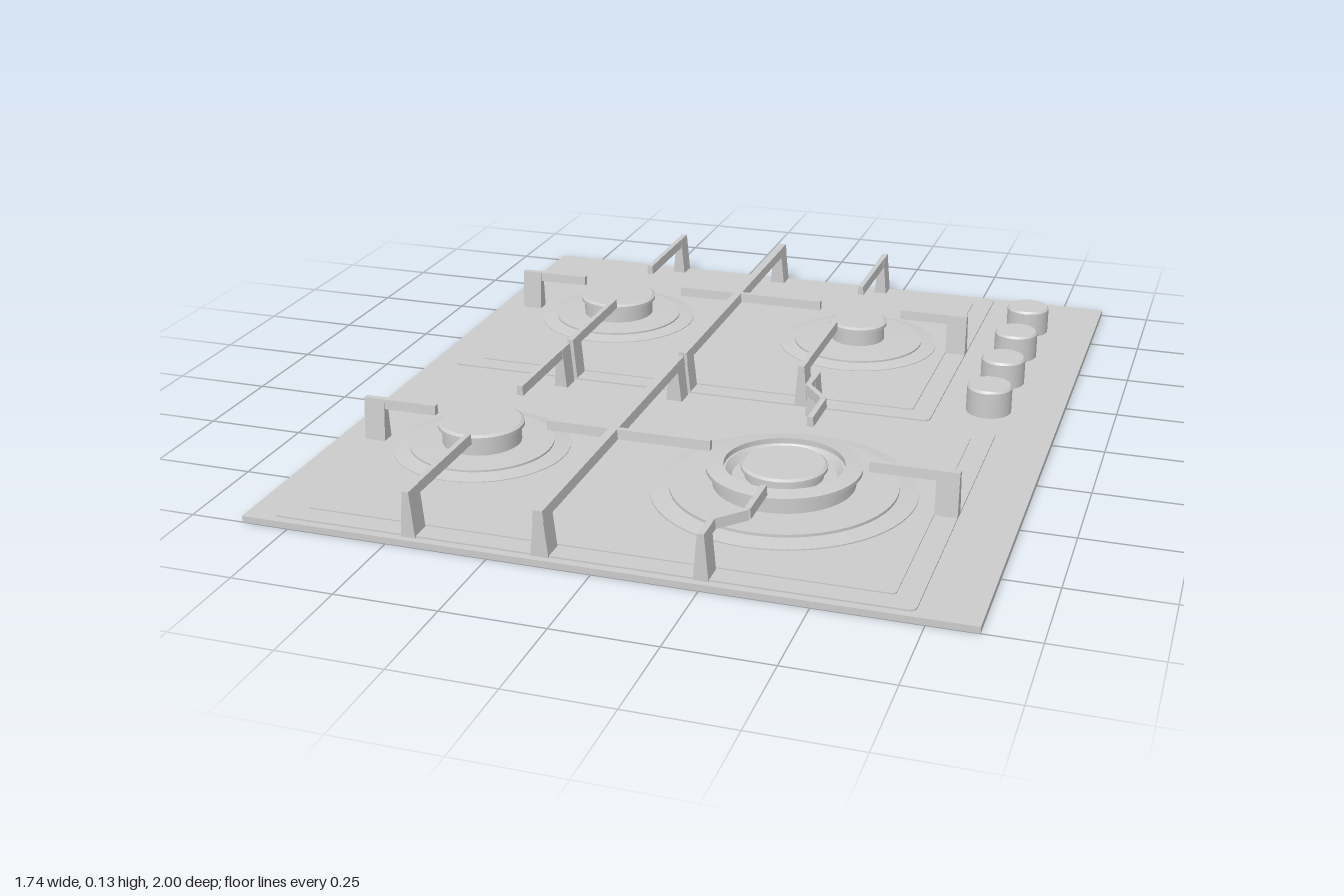
import * as THREE from 'three';

const mat = new THREE.MeshStandardMaterial({ color: 0xcccccc, side: THREE.DoubleSide });
const PLATE = 0.016, TOP = 0.13, BAR = 0.105;

function add(parent, name, geo, x = 0, y = 0, z = 0) {
  const m = new THREE.Mesh(geo, mat);
  m.name = name;
  m.position.set(x, y, z);
  parent.add(m);
  return m;
}

// Lathe from [radius, height] points, each edge kept sharp
function turned(points, segments = 48) {
  const profile = [];
  points.forEach(([r, y], i) => {
    profile.push(new THREE.Vector2(r, y));
    if (i > 0 && i < points.length - 1) profile.push(new THREE.Vector2(r, y));
  });
  return new THREE.LatheGeometry(profile, segments);
}

// Flat pad with rounded corners
function pad(x0, x1, z0, z1, r, h) {
  const s = new THREE.Shape();
  s.moveTo(x0 + r, -z1);
  s.lineTo(x1 - r, -z1);
  s.quadraticCurveTo(x1, -z1, x1, -z1 + r);
  s.lineTo(x1, -z0 - r);
  s.quadraticCurveTo(x1, -z0, x1 - r, -z0);
  s.lineTo(x0 + r, -z0);
  s.quadraticCurveTo(x0, -z0, x0, -z0 - r);
  s.lineTo(x0, -z1 + r);
  s.quadraticCurveTo(x0, -z1, x0 + r, -z1);
  return new THREE.ExtrudeGeometry(s, { depth: h, bevelEnabled: false, curveSegments: 6 }).rotateX(-Math.PI / 2);
}

// Straight beam between two [x, z] points, wider at the bottom than at the top
function beam(parent, name, a, b, y0, y1, wTop, wBot) {
  const dx = b[0] - a[0], dz = b[1] - a[1];
  const geo = new THREE.BoxGeometry(Math.hypot(dx, dz), y1 - y0, 1);
  const p = geo.attributes.position;
  for (let i = 0; i < p.count; i++) p.setZ(i, p.getZ(i) * (p.getY(i) > 0 ? wTop : wBot));
  geo.computeVertexNormals();
  const m = add(parent, name, geo, (a[0] + b[0]) / 2, (y0 + y1) / 2, (a[1] + b[1]) / 2);
  m.rotation.y = -Math.atan2(dz, dx);
}

// Splayed foot under the outer end of a bar
function foot(parent, a, toward, wTop = 0.016, wBot = 0.036) {
  const d = new THREE.Vector2(toward[0] - a[0], toward[1] - a[1]).setLength(0.055);
  beam(parent, 'grateFoot', a, [a[0] + d.x, a[1] + d.y], PLATE, TOP, wTop, wBot);
}

// Grate finger: a foot at the first point, then bars along the path
function finger(parent, ...pts) {
  foot(parent, pts[0], pts[1]);
  for (let i = 0; i < pts.length - 1; i++) beam(parent, 'grateFinger', pts[i], pts[i + 1], BAR, TOP, 0.014, 0.018);
}

function grate(name, z0, z1, zMid, xRight, innerRight) {
  const g = new THREE.Group();
  g.name = name;
  // spine with a foot at each end, and its cross bar
  beam(g, 'grateSpine', [-0.128, z0], [-0.128, z1], BAR, TOP, 0.022, 0.028);
  foot(g, [-0.128, z0], [-0.128, z1], 0.02, 0.044);
  foot(g, [-0.128, z1], [-0.128, z0], 0.02, 0.044);
  beam(g, 'grateCrossBar', [-0.3, zMid], [0.12, zMid], BAR, TOP, 0.014, 0.018);
  // side fingers
  finger(g, [-0.795, zMid], [-0.6, zMid]);
  finger(g, [xRight, zMid], [innerRight, zMid]);
  // left fingers
  finger(g, [-0.45, z0], [-0.45, z0 + 0.325]);
  finger(g, [-0.45, z1], [-0.45, z1 - 0.34]);
  return g;
}

// Simple burner: spreader plate, body and cap
function burner(parent, name, x, z, cap) {
  const g = new THREE.Group();
  g.name = name;
  g.position.set(x, 0, z);
  add(g, 'burnerBase', turned([[0.222, PLATE], [0.222, 0.025], [0.18, 0.031], [0.18, 0.036], [0, 0.042]]));
  add(g, 'burnerBody', turned([[cap * 0.92, 0.036], [cap * 0.92, 0.082], [0, 0.082]]));
  add(g, 'burnerCap', turned([[0, 0.08], [cap, 0.08], [cap, 0.089], [cap - 0.008, 0.094], [0, 0.094]]));
  parent.add(g);
}

export function createModel() {
  const model = new THREE.Group();
  model.name = 'gasHob';

  add(model, 'basePlate', new THREE.BoxGeometry(1.735, PLATE, 2), 0, PLATE / 2, 0);

  // Stepped burner trays
  for (const [name, x1, z0, z1] of [['rearTray', 0.545, -0.99, -0.018], ['frontTray', 0.725, 0.004, 0.98]]) {
    add(model, name, pad(-0.797, x1, z0, z1, 0.02, 0.004), 0, PLATE, 0);
    add(model, name + 'Panel', pad(-0.738, x1 - 0.055, z0 + 0.055, z1 - 0.055, 0.012, 0.003), 0, PLATE + 0.004, 0);
  }

  burner(model, 'rearRightBurner', -0.492, -0.505, 0.108);
  burner(model, 'frontRightBurner', -0.492, 0.476, 0.108);
  burner(model, 'rearLeftBurner', 0.236, -0.505, 0.08);

  // Large double-ring burner
  const wok = new THREE.Group();
  wok.name = 'largeBurner';
  wok.position.set(0.3, 0, 0.495);
  add(wok, 'largeBurnerBase', turned([[0.322, PLATE], [0.322, 0.026], [0.275, 0.032], [0.275, 0.039], [0, 0.044]], 64));
  add(wok, 'largeBurnerBody', turned([[0.172, 0.038], [0.172, 0.078], [0.14, 0.078], [0.125, 0.06], [0, 0.06]], 64));
  add(wok, 'outerFlameRing', turned([[0.145, 0.07], [0.187, 0.076], [0.187, 0.086], [0.145, 0.091], [0.145, 0.07]], 64));
  add(wok, 'centreBurner', turned([[0.095, 0.058], [0.095, 0.082], [0, 0.082]]));
  add(wok, 'centreCap', turned([[0, 0.08], [0.104, 0.08], [0.104, 0.088], [0.097, 0.093], [0, 0.093]]));
  model.add(wok);

  // Rear grate, with straight fingers over the small burner
  const rear = grate('rearGrate', -0.992, -0.018, -0.52, 0.545, 0.355);
  finger(rear, [0.2, -0.992], [0.2, -0.675]);
  finger(rear, [0.2, -0.018], [0.2, -0.37]);
  model.add(rear);

  // Front grate, with cranked fingers over the large burner
  const front = grate('frontGrate', 0.004, 0.984, 0.505, 0.725, 0.51);
  finger(front, [0.25, 0.004], [0.25, 0.095], [0.31, 0.17], [0.31, 0.3]);
  finger(front, [0.25, 0.984], [0.25, 0.9], [0.31, 0.835], [0.31, 0.705]);
  model.add(front);

  // Control knobs
  const knob = turned([[0.059, PLATE], [0.059, 0.084], [0.054, 0.09], [0, 0.09]], 32);
  for (let i = 0; i < 4; i++) add(model, 'controlKnob', knob, 0.678, 0, -0.77 + i * 0.209);

  return model;
}
